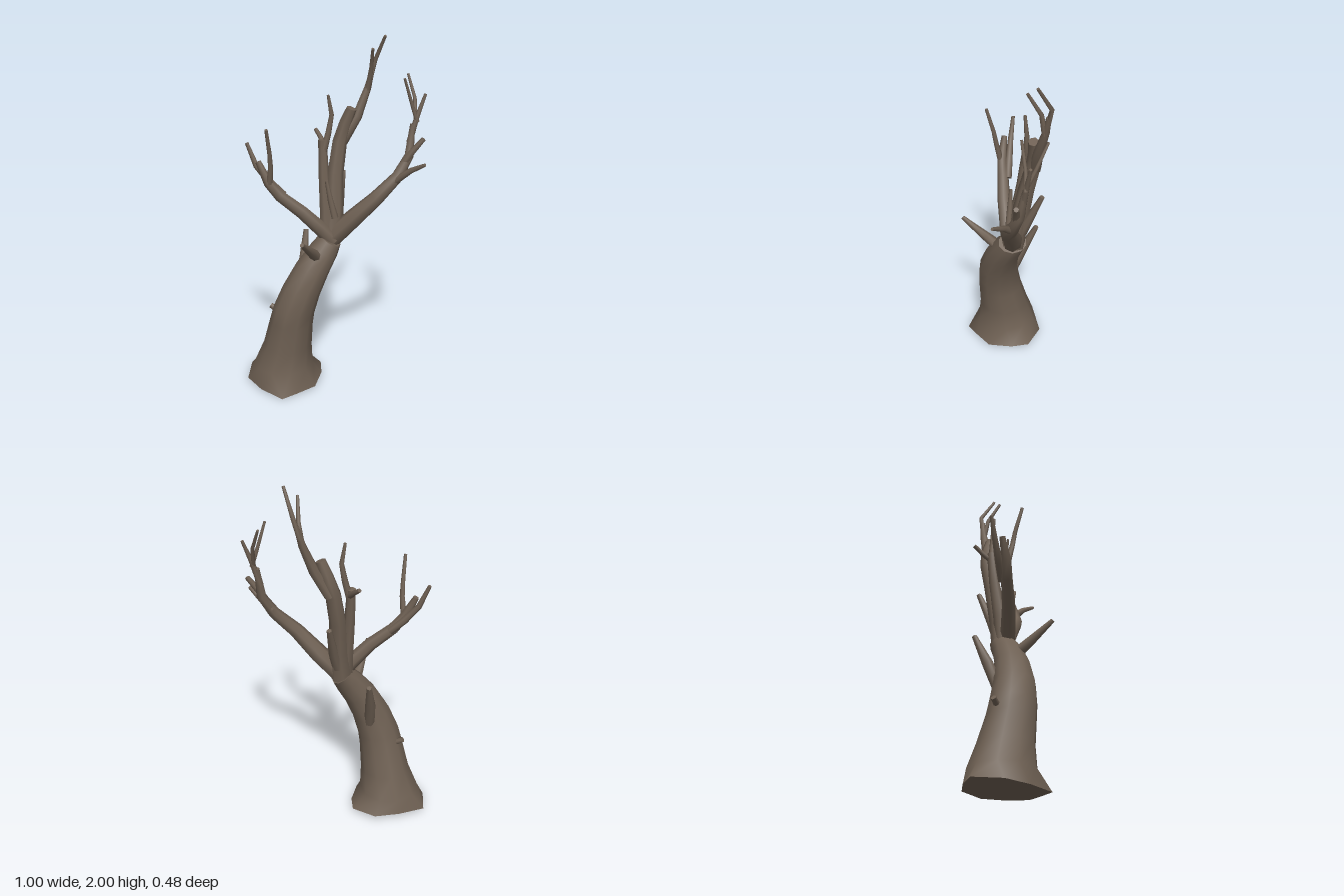
import * as THREE from 'three';

const V = (x, y, z) => new THREE.Vector3(x, y, z);
const bark = new THREE.MeshStandardMaterial({ color: 0x6e6053 });
bark.name = 'bark';

// Skin a stack of equal-sized rings, smooth along the sides, with flat caps
function loft(rings) {
  const n = rings[0].length;
  const pos = [], idx = [];
  const push = (p) => pos.push(p.x, p.y, p.z) / 3 - 1;
  rings.forEach((r) => r.forEach(push));
  for (let i = 0; i < rings.length - 1; i++) {
    for (let k = 0; k < n; k++) {
      const a = i * n + k, b = i * n + (k + 1) % n;
      idx.push(a, a + n, b, b, a + n, b + n);
    }
  }
  const cap = (ring, up) => {
    const mid = ring.reduce((s, p) => s.add(p), V(0, 0, 0)).divideScalar(n);
    const c = push(mid);
    ring.forEach(push);
    for (let k = 0; k < n; k++) {
      const p = c + 1 + k, q = c + 1 + (k + 1) % n;
      idx.push(c, up ? q : p, up ? p : q);
    }
  };
  cap(rings[0], false);
  cap(rings[rings.length - 1], true);
  const g = new THREE.BufferGeometry();
  g.setAttribute('position', new THREE.Float32BufferAttribute(pos, 3));
  g.setIndex(idx);
  g.computeVertexNormals();
  return g;
}

// Tapered limb through points [x, y, z, radius]
function limb(points, sides) {
  const c = points.map((p) => V(p[0], p[1], p[2]));
  const rings = points.map((p, i) => {
    const dir = c[Math.min(i + 1, c.length - 1)].clone().sub(c[Math.max(i - 1, 0)]).normalize();
    const q = new THREE.Quaternion().setFromUnitVectors(V(0, 1, 0), dir);
    return Array.from({ length: sides }, (_, k) => {
      const a = (k / sides) * Math.PI * 2;
      return V(Math.cos(a) * p[3], 0, Math.sin(a) * p[3]).applyQuaternion(q).add(c[i]);
    });
  });
  return loft(rings);
}

// Leaning trunk: uneven flared foot, then tilted elliptical rings
function trunk() {
  const foot = [[-0.07, -0.05], [-0.1, 0.09], [-0.2, 0.165], [-0.28, 0.22], [-0.41, 0.13],
    [-0.5, 0.02], [-0.495, -0.14], [-0.35, -0.2], [-0.21, -0.23], [-0.08, -0.155]]
    .map(([x, z]) => V(x, 0.018 - 0.08 * z, z));
  // centre x, y, z, radius x, radius z, slope along x
  const rings = [
    [-0.29, 0.115, -0.02, 0.17, 0.175, 0],
    [-0.262, 0.25, -0.005, 0.138, 0.148, -0.05],
    [-0.237, 0.4, 0.018, 0.122, 0.13, -0.12],
    [-0.22, 0.48, 0.026, 0.115, 0.124, -0.18],
    [-0.177, 0.6, 0.027, 0.103, 0.112, -0.28],
    [-0.113, 0.73, 0.007, 0.088, 0.097, -0.4],
    [-0.05, 0.83, -0.025, 0.072, 0.086, -0.5],
    [-0.015, 0.885, -0.05, 0.056, 0.08, -0.6],
  ].map(([x, y, z, rx, rz, s]) => foot.map((_, k) => {
    const a = (k / foot.length) * Math.PI * 2;
    const dx = Math.cos(a) * rx;
    return V(x + dx, y + dx * s, z + Math.sin(a) * rz);
  }));
  return loft([foot, ...rings]);
}

const limbs = {
  // left side bough and its twigs
  leftBough: [[-0.03, 0.86, -0.05, 0.05], [0.02, 0.92, -0.05, 0.056], [0.11, 1.01, -0.045, 0.052],
    [0.235, 1.14, -0.02, 0.042], [0.35, 1.26, -0.045, 0.033], [0.41, 1.37, -0.075, 0.026], [0.425, 1.54, -0.1, 0.014]],
  leftLowTwig: [[0.34, 1.24, -0.03, 0.022], [0.42, 1.31, 0.005, 0.016], [0.49, 1.36, 0.06, 0.009]],
  leftMidTwig: [[0.36, 1.29, -0.06, 0.024], [0.42, 1.39, -0.06, 0.019], [0.485, 1.47, -0.055, 0.013]],
  leftOuterTip: [[0.41, 1.44, -0.09, 0.018], [0.445, 1.57, -0.105, 0.014], [0.49, 1.7, -0.12, 0.008]],
  leftInnerTip: [[0.45, 1.55, -0.1, 0.012], [0.42, 1.64, -0.1, 0.01], [0.375, 1.79, -0.08, 0.007]],
  leftBackTip: [[0.44, 1.55, -0.1, 0.012], [0.435, 1.67, -0.15, 0.01], [0.397, 1.79, -0.205, 0.007]],
  // right side bough and its twigs
  rightBough: [[0.0, 0.88, -0.04, 0.045], [-0.07, 0.96, -0.02, 0.042], [-0.17, 1.06, -0.005, 0.037],
    [-0.29, 1.155, 0.0, 0.032], [-0.35, 1.23, 0.005, 0.027], [-0.405, 1.345, -0.01, 0.016]],
  rightOuterTwig: [[-0.27, 1.15, -0.03, 0.02], [-0.345, 1.22, -0.035, 0.021], [-0.42, 1.31, -0.045, 0.016], [-0.47, 1.435, -0.06, 0.01]],
  rightUprightTwig: [[-0.345, 1.21, 0.01, 0.018], [-0.333, 1.33, 0.035, 0.014], [-0.335, 1.41, 0.05, 0.012], [-0.345, 1.55, 0.09, 0.009]],
  // slender middle bough
  middleBough: [[-0.03, 0.87, -0.05, 0.045], [-0.04, 1.05, -0.07, 0.038], [-0.055, 1.25, -0.1, 0.03], [-0.063, 1.44, -0.12, 0.024]],
  middleTip: [[-0.055, 1.38, -0.11, 0.02], [-0.03, 1.48, -0.12, 0.017], [-0.012, 1.58, -0.12, 0.013], [-0.03, 1.69, -0.11, 0.008]],
  middleBackTwig: [[-0.055, 1.4, -0.12, 0.017], [-0.075, 1.44, -0.17, 0.014], [-0.105, 1.475, -0.21, 0.011]],
  middleSpur: [[0.01, 1.02, -0.03, 0.02], [-0.015, 1.12, -0.035, 0.016], [-0.037, 1.23, -0.04, 0.009]],
  // tall rear bough
  tallBough: [[-0.01, 0.88, -0.06, 0.06], [0.005, 1.05, -0.085, 0.052], [0.008, 1.25, -0.12, 0.046],
    [0.03, 1.42, -0.155, 0.042], [0.06, 1.52, -0.16, 0.036], [0.095, 1.61, -0.15, 0.028]],
  tallLeader: [[0.045, 1.42, -0.165, 0.032], [0.125, 1.56, -0.175, 0.028], [0.18, 1.71, -0.205, 0.02], [0.205, 1.81, -0.215, 0.013]],
  tallOuterTip: [[0.18, 1.71, -0.205, 0.016], [0.22, 1.86, -0.228, 0.012], [0.27, 2.0, -0.155, 0.008]],
  tallInnerTip: [[0.18, 1.7, -0.2, 0.016], [0.198, 1.82, -0.18, 0.012], [0.205, 1.94, -0.11, 0.008]],
  rearTwig: [[0.0, 0.92, -0.08, 0.032], [0.03, 1.06, -0.13, 0.027], [0.05, 1.24, -0.205, 0.014]],
  // stubs growing out of the trunk
  frontStub: [[-0.085, 0.8, 0.02, 0.034], [-0.11, 0.86, 0.1, 0.027], [-0.155, 0.96, 0.23, 0.012]],
  backStub: [[-0.17, 0.58, -0.06, 0.03], [-0.172, 0.72, -0.115, 0.03], [-0.163, 0.885, -0.19, 0.014]],
  sideStub: [[-0.29, 0.415, -0.03, 0.02], [-0.362, 0.46, -0.055, 0.015]],
};

export function createModel() {
  const tree = new THREE.Group();
  tree.name = 'bareTree';
  const add = (name, geometry) => {
    const mesh = new THREE.Mesh(geometry, bark);
    mesh.name = name;
    tree.add(mesh);
  };
  add('trunk', trunk());
  for (const [name, points] of Object.entries(limbs)) add(name, limb(points, 7));
  return tree;
}
